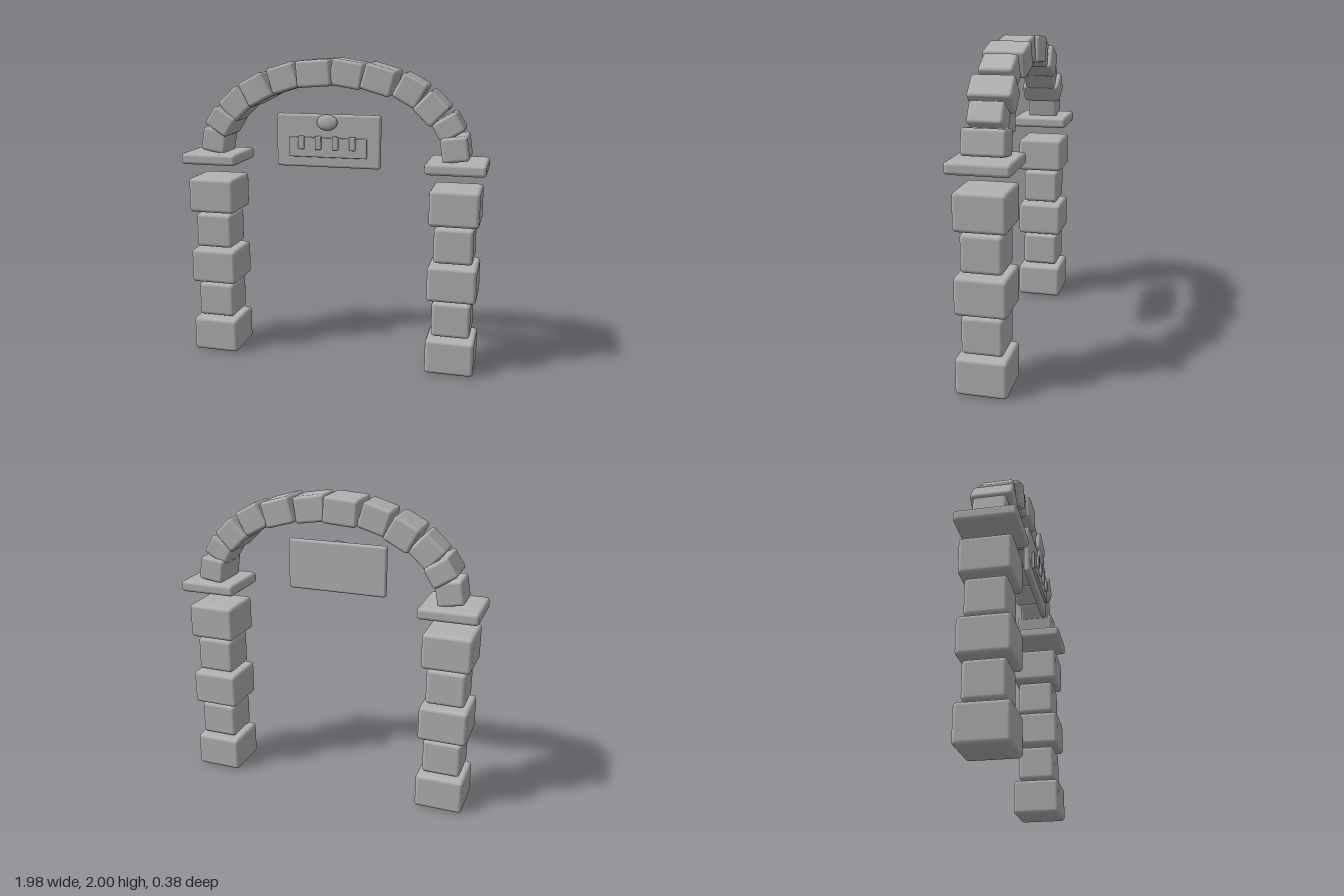
import * as THREE from 'three';
import { RoundedBoxGeometry } from 'three/addons/geometries/RoundedBoxGeometry.js';

export function createModel() {
  const model = new THREE.Group();
  model.name = 'stoneArch';
  const stone = new THREE.MeshStandardMaterial({ color: 0xb2b2b2 });
  stone.name = 'grey stone';

  // Rounded block centred at (x, y, z)
  function block(parent, name, w, h, d, x, y, z, radius) {
    const mesh = new THREE.Mesh(new RoundedBoxGeometry(w, h, d, 3, radius), stone);
    mesh.name = name;
    mesh.position.set(x, y, z);
    parent.add(mesh);
    return mesh;
  }

  // Pillars: five alternating wide and narrow blocks under a flat cap
  for (const side of [-1, 1]) {
    const pillar = new THREE.Group();
    pillar.name = side > 0 ? 'leftPillar' : 'rightPillar';
    for (let i = 0; i < 5; i++) {
      const w = i % 2 ? 0.25 : 0.314;
      block(pillar, 'pillarBlock', w, 0.232, w, 0, 0.116 + i * 0.2455, 0, 0.025);
    }
    block(pillar, 'pillarCap', 0.376, 0.074, 0.376, 0, 1.348, 0, 0.022);
    pillar.position.x = side * 0.802;
    model.add(pillar);
  }

  // Arch stones: x, y, length along the arch, tilt in degrees
  const archStones = [
    [-0.79, 1.463, 0.155, 80], [-0.733, 1.592, 0.14, 57], [-0.637, 1.705, 0.17, 43],
    [-0.488, 1.802, 0.178, 28], [-0.311, 1.876, 0.187, 17], [-0.103, 1.909, 0.222, 4],
    [0.104, 1.907, 0.205, -9], [0.309, 1.876, 0.198, -16], [0.502, 1.812, 0.17, -29],
    [0.637, 1.708, 0.16, -44], [0.743, 1.593, 0.135, -59], [0.79, 1.463, 0.155, -82],
  ];
  const arch = new THREE.Group();
  arch.name = 'arch';
  archStones.forEach(([x, y, length, tilt], i) => {
    const depth = i % 2 ? 0.26 : 0.207;
    const s = block(arch, 'archStone', length, 0.168, depth, x, y, -0.003, 0.02);
    s.rotation.z = THREE.MathUtils.degToRad(tilt);
  });
  model.add(arch);

  // Hanging sign with a raised panel, four pegs and an oval boss
  const sign = new THREE.Group();
  sign.name = 'sign';
  block(sign, 'signBoard', 0.672, 0.336, 0.04, 0, 1.493, 0.124, 0.016);
  block(sign, 'signPanel', 0.504, 0.124, 0.03, 0, 1.453, 0.147, 0.006);
  for (let i = 0; i < 4; i++) {
    block(sign, 'signPeg', 0.039, 0.085, 0.03, -0.167 + i * 0.11, 1.483, 0.165, 0.008);
  }
  const boss = new THREE.Mesh(new THREE.SphereGeometry(1, 32, 20), stone);
  boss.name = 'signBoss';
  boss.scale.set(0.066, 0.05, 0.021);
  boss.position.set(0, 1.612, 0.16);
  sign.add(boss);
  model.add(sign);

  return model;
}
